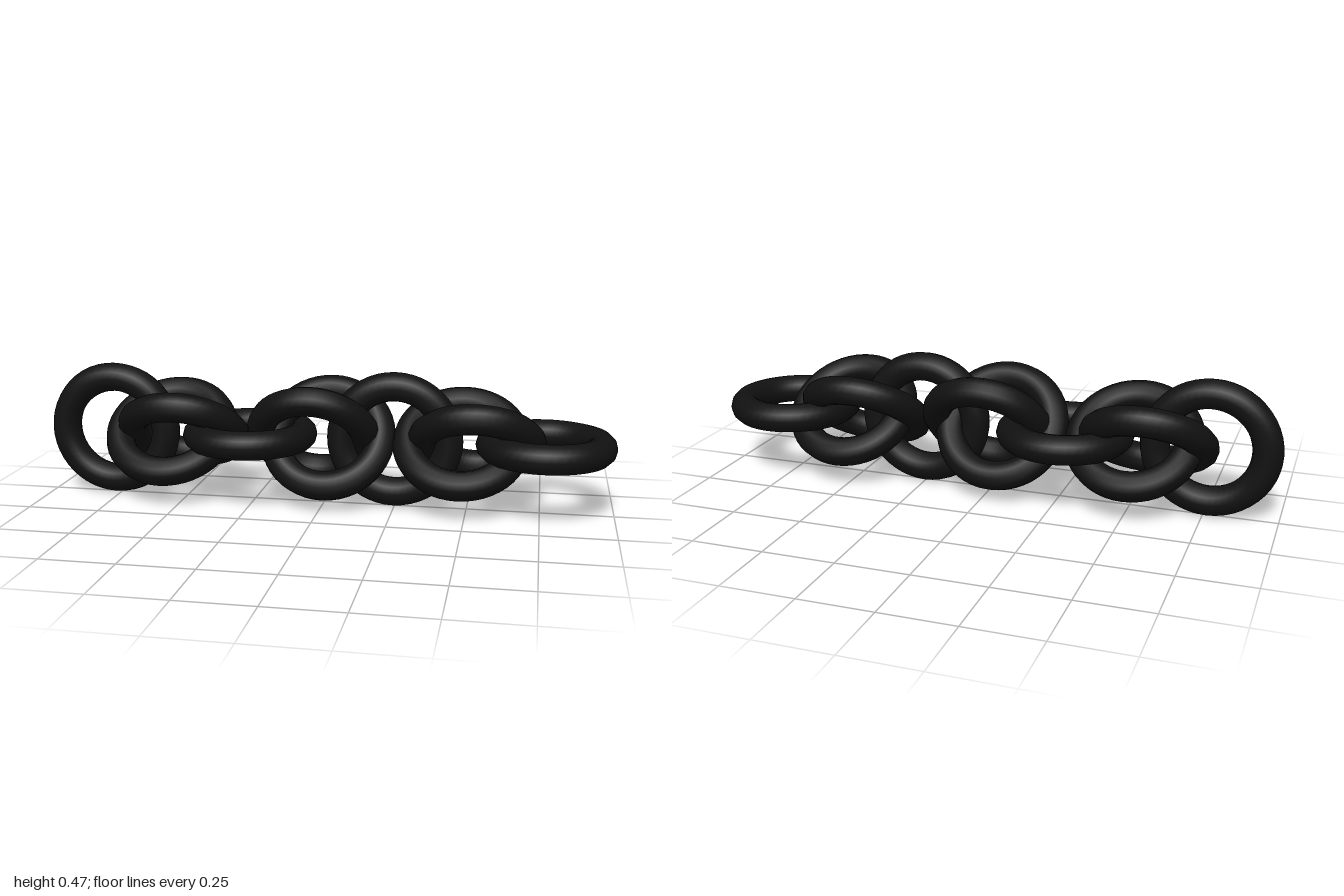
import * as THREE from 'three';

const RING = 0.186; // centre line radius of a link
const WIRE = 0.051; // thickness radius of a link

// Each link: position along the chain and twist about x, in degrees (0 = upright)
const LINKS = [
  [-0.763, 0],
  [-0.555, -52], [-0.507, 52],
  [-0.266, 90],
  [-0.037, 38], [0.013, -38],
  [0.247, 0],
  [0.478, -52], [0.53, 52],
  [0.763, 90],
];

export function createModel() {
  const chain = new THREE.Group();
  chain.name = 'chain';
  const material = new THREE.MeshStandardMaterial({ color: 0x111111 });
  const geometry = new THREE.TorusGeometry(RING, WIRE, 12, 48);

  // Interlocking round links, twisted one after another
  LINKS.forEach(([x, twist], i) => {
    const link = new THREE.Mesh(geometry, material);
    link.name = `link${i + 1}`;
    link.position.set(x, RING + WIRE, 0);
    link.rotation.x = THREE.MathUtils.degToRad(twist);
    chain.add(link);
  });
  return chain;
}
